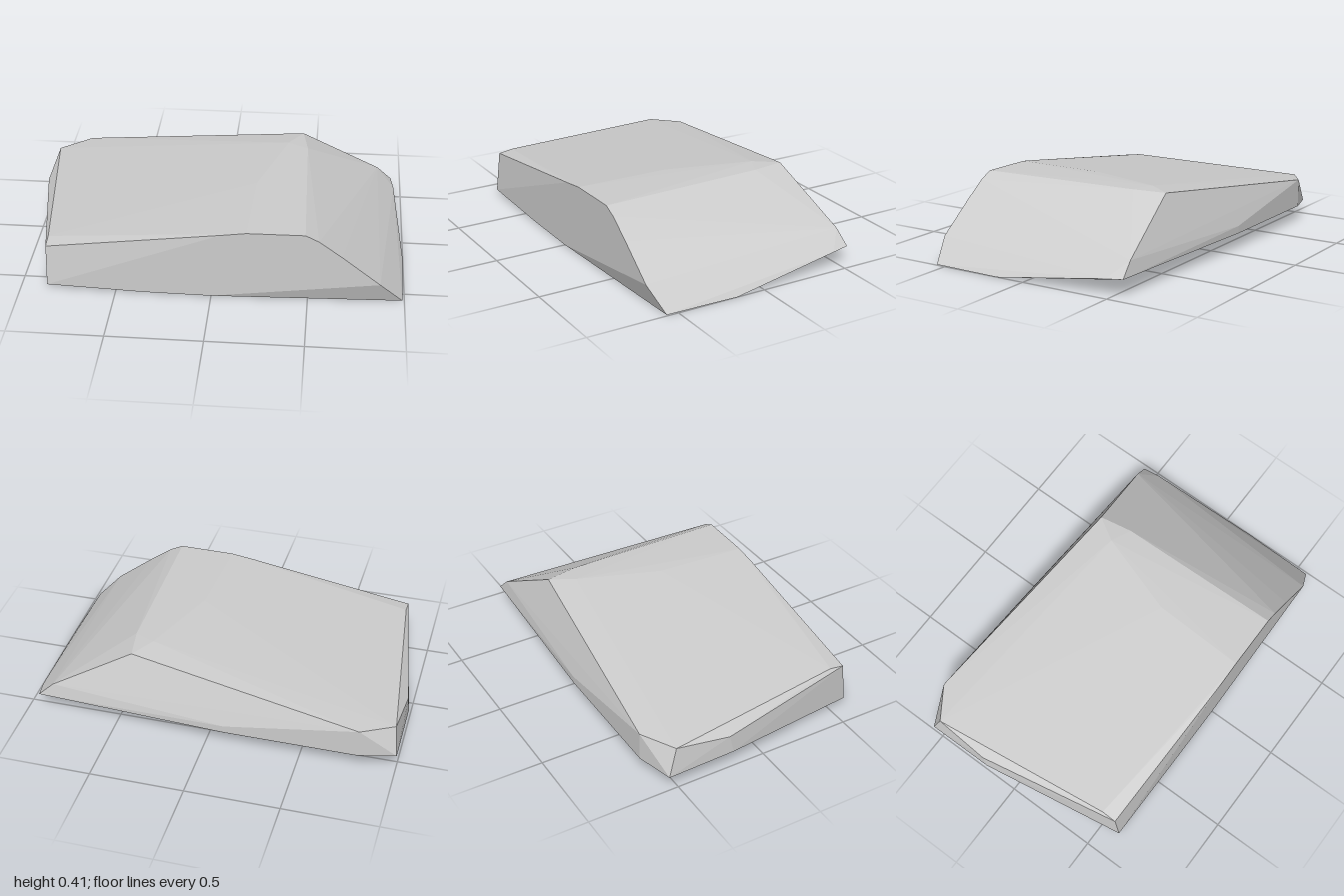
import * as THREE from 'three';
import { ConvexGeometry } from 'three/addons/geometries/ConvexGeometry.js';

// Low-poly faceted boulder: the convex hull of a few corner points.
export function createModel() {
  const stone = new THREE.MeshStandardMaterial({ color: 0xcccccc, flatShading: true });
  stone.name = 'light grey stone';

  const corners = [
    // front face rim
    [-0.86, 0.025, 0.605], [-0.86, 0.245, 0.58], [0.05, 0.375, 0.605], [0.18, 0.393, 0.605],
    [0.48, 0.396, 0.605], [0.55, 0.362, 0.605], [0.67, 0.275, 0.605], [0.87, 0.12, 0.605],
    [0, 0.003, 0.605], [-0.35, 0.006, 0.605],
    // right toe
    [0.99, 0, 0.56], [1, 0, 0.16], [0.955, 0.083, -0.46],
    [0.94, 0.09, -0.555], [0.86, 0.165, -0.545],
    // flat base
    [-0.3, 0, 0.5], [0.3, 0, -0.16],
    // crown
    [-0.86, 0.257, 0.5], [0.43, 0.402, -0.48], [0.35, 0.408, -0.35], [0.46, 0.404, -0.3],
    [0.2, 0.398, 0.1],
    // back edge
    [-0.81, 0.245, -0.61], [-0.81, 0.09, -0.61], [-0.1, 0.09, -0.61], [-0.1, 0.13, -0.61],
    // left end
    [-1, 0.08, -0.55], [-0.98, 0.23, -0.5], [-1, 0.09, -0.18], [-0.995, 0.19, -0.2]
  ];

  const rock = new THREE.Mesh(
    new ConvexGeometry(corners.map((p) => new THREE.Vector3(...p))), stone);
  rock.name = 'rock';

  const group = new THREE.Group();
  group.name = 'boulder';
  group.add(rock);
  return group;
}
